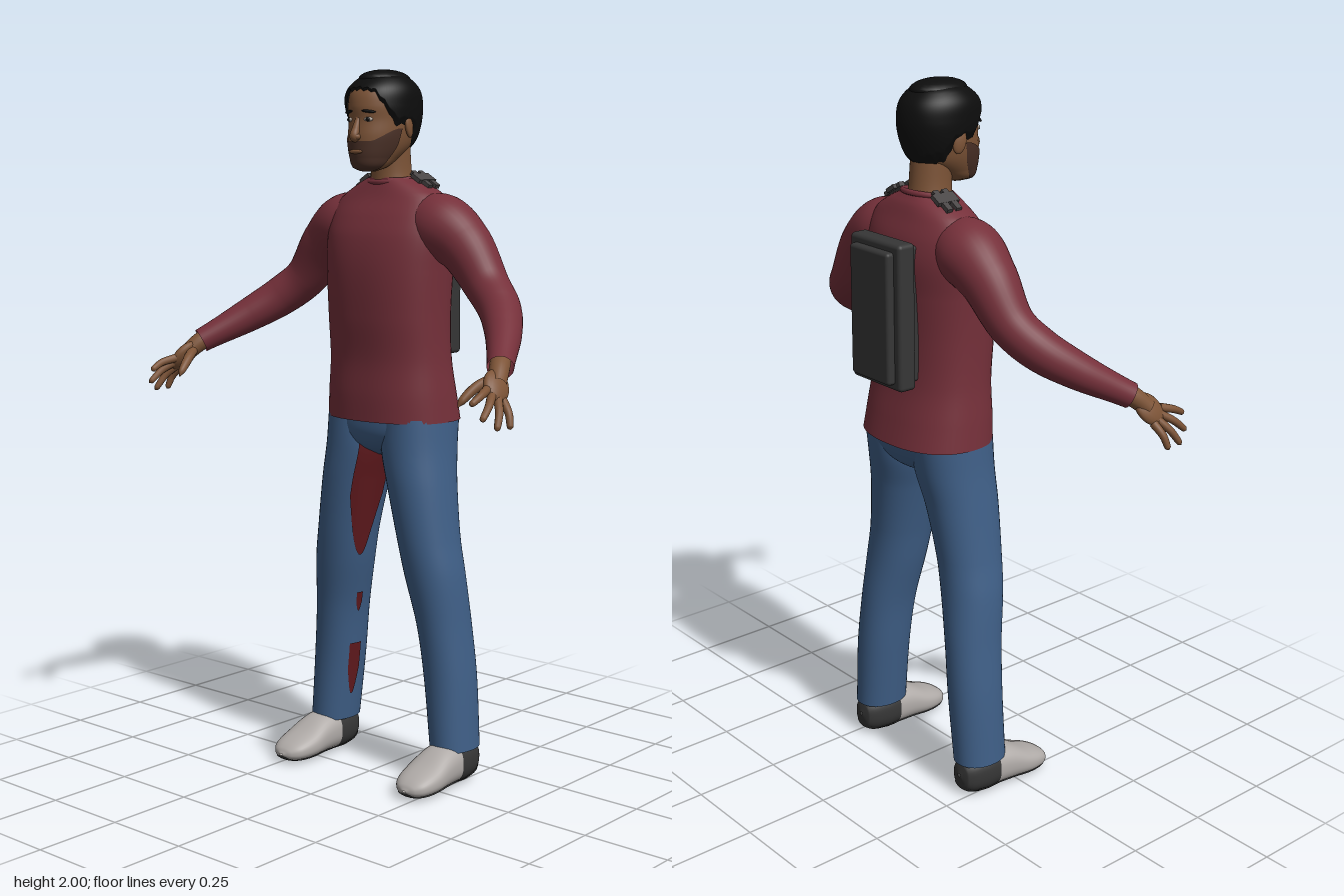
import * as THREE from 'three';
import { ParametricGeometry } from 'three/addons/geometries/ParametricGeometry.js';
import { RoundedBoxGeometry } from 'three/addons/geometries/RoundedBoxGeometry.js';

const mat = (name, color, side = THREE.DoubleSide) => {
  const m = new THREE.MeshStandardMaterial({ color, side });
  m.name = name;
  return m;
};
const V = (x, y, z) => new THREE.Vector3(x, y, z);

// Smooth interpolation of rings [key, xMin, xMax, zBack, zFront] at a given key
function ringAt(rings, key) {
  let i = 0;
  while (i < rings.length - 2 && key > rings[i + 1][0]) i++;
  const a = rings[i], b = rings[i + 1], h = b[0] - a[0];
  const t = THREE.MathUtils.clamp((key - a[0]) / h, 0, 1);
  const p = rings[Math.max(i - 1, 0)], n = rings[Math.min(i + 2, rings.length - 1)];
  return a.map((_, k) => {
    const ma = (b[k] - p[k]) / (b[0] - p[0]) * h, mb = (n[k] - a[k]) / (n[0] - a[0]) * h;
    const t2 = t * t, t3 = t2 * t;
    return (2 * t3 - 3 * t2 + 1) * a[k] + (t3 - 2 * t2 + t) * ma + (3 * t2 - 2 * t3) * b[k] + (t3 - t2) * mb;
  });
}

// Skin over rings; angle 0 faces the front. from/to may depend on the angle.
function skin(rings, o = {}) {
  const { a0 = -Math.PI, a1 = Math.PI, e = 2, off = () => 0, nu = 40, nv = 40 } = o;
  const from = o.from ?? (() => rings[0][0]), to = o.to ?? (() => rings[rings.length - 1][0]);
  return new ParametricGeometry((u, v, out) => {
    const a = a0 + (a1 - a0) * u, s = Math.sin(a), c = Math.cos(a);
    const y = THREE.MathUtils.lerp(from(a), to(a), v);
    const [, x0, x1, zb, zf] = ringAt(rings, y);
    const r = Math.pow(Math.abs(s) ** e + Math.abs(c) ** e, -1 / e), d = off(u, v);
    out.set((x0 + x1) / 2 + ((x1 - x0) / 2 + d) * s * r, y, (zb + zf) / 2 + ((zf - zb) / 2 + d) * c * r);
  }, nu, nv);
}

// Round limb through points [x, y, z, radius]
function limb(points, nu = 20, nv = 28) {
  const path = new THREE.CatmullRomCurve3(points.map(p => V(p[0], p[1], p[2])));
  const radii = new THREE.SplineCurve(points.map((p, i) => new THREE.Vector2(i, p[3])));
  const ref = V(1, 1, 0.1).normalize();
  return new ParametricGeometry((u, v, out) => {
    const T = path.getTangent(v), N = ref.clone().cross(T).normalize(), B = T.clone().cross(N);
    const a = u * Math.PI * 2, r = radii.getPoint(v).y;
    out.copy(path.getPoint(v)).addScaledVector(N, r * Math.cos(a)).addScaledVector(B, r * Math.sin(a));
  }, nu, nv);
}

const sym = rows => rows.map(([y, w, zb, zf]) => [y, -w, w, zb, zf]);

const TORSO = sym([
  [1.03, 0.2, -0.255, 0.04], [1.1, 0.195, -0.24, 0.04], [1.2, 0.187, -0.22, 0.036],
  [1.32, 0.187, -0.215, 0.045], [1.45, 0.193, -0.22, 0.047], [1.54, 0.2, -0.225, 0.035],
  [1.6, 0.195, -0.215, 0.012], [1.65, 0.17, -0.195, -0.015], [1.685, 0.115, -0.18, -0.03],
  [1.705, 0.07, -0.165, -0.038]]);
const HEAD = sym([
  [1.722, 0.015, -0.02, 0.025], [1.732, 0.042, -0.05, 0.044], [1.76, 0.06, -0.1, 0.053],
  [1.79, 0.073, -0.14, 0.056], [1.82, 0.08, -0.155, 0.056], [1.86, 0.084, -0.168, 0.051],
  [1.9, 0.086, -0.172, 0.053], [1.94, 0.082, -0.163, 0.042], [1.967, 0.065, -0.14, 0.015],
  [1.983, 0.04, -0.11, -0.018], [1.989, 0.004, -0.067, -0.059]]);
const NECK = sym([[1.67, 0.066, -0.16, -0.035], [1.72, 0.057, -0.152, -0.035], [1.79, 0.056, -0.145, -0.03]]);
const PELVIS = sym([[0.925, 0.03, -0.13, -0.05], [0.95, 0.1, -0.19, -0.005], [0.99, 0.18, -0.22, 0.016], [1.05, 0.195, -0.24, 0.02]]);
const LEG = [
  [0.1, 0.165, 0.292, -0.187, -0.03], [0.3, 0.14, 0.28, -0.19, -0.03], [0.45, 0.12, 0.265, -0.185, -0.02],
  [0.6, 0.085, 0.252, -0.175, 0], [0.7, 0.065, 0.235, -0.175, 0.01], [0.85, 0.03, 0.215, -0.19, 0.018],
  [0.95, 0.004, 0.203, -0.21, 0.018], [1.04, 0.003, 0.197, -0.225, 0.016]];
// Shoe rings run heel to toe, later turned to lie along z: [z, x, x, -top, -bottom]
const SHOE = [
  [-0.186, 0.225, 0.235, -0.07, -0.06], [-0.178, 0.197, 0.264, -0.1, -0.02], [-0.12, 0.176, 0.285, -0.12, -0.003],
  [-0.07, 0.172, 0.288, -0.122, -0.004], [-0.02, 0.17, 0.293, -0.112, -0.004], [0.04, 0.168, 0.297, -0.083, -0.003],
  [0.09, 0.18, 0.288, -0.062, -0.006], [0.115, 0.202, 0.268, -0.046, -0.014], [0.125, 0.23, 0.24, -0.03, -0.026]];

export function createModel() {
  const model = new THREE.Group();
  model.name = 'person';
  const M = {
    skin: mat('skin', 0x7d5437), beard: mat('beard', 0x4b3127), hair: mat('hair', 0x0d0d0d),
    shirt: mat('shirt', 0x75303a), jeans: mat('jeans', 0x3f5f87), stain: mat('stain', 0x621a1e),
    shoe: mat('shoe', 0xb0aba8), dark: mat('darkFabric', 0x363636), strap: mat('strap', 0x4a4646),
    eye: mat('eyeWhite', 0xb5aaa0) };
  const add = (parent, name, geo, m, pos = [0, 0, 0], rot = [0, 0, 0], scale = [1, 1, 1]) => {
    const mesh = new THREE.Mesh(geo, m);
    mesh.name = name;
    mesh.position.set(...pos);
    mesh.rotation.set(...rot);
    mesh.scale.set(...scale);
    parent.add(mesh);
    return mesh;
  };
  const ball = new THREE.SphereGeometry(1, 20, 14);

  // Shirt, neck and collar
  add(model, 'shirtBody', skin(TORSO, { e: 2.35, nu: 56, nv: 50 }), M.shirt);
  add(model, 'neck', skin(NECK), M.skin);
  add(model, 'collar', new THREE.TorusGeometry(0.066, 0.008, 8, 36), M.shirt, [0, 1.702, -0.1], [Math.PI / 2 + 0.15, 0, 0], [1.06, 1, 1]);
  add(model, 'trouserHips', skin(PELVIS, { e: 2.3 }), M.jeans);

  // Head, hair shell with a curved hairline, beard patch
  const head = new THREE.Group();
  head.name = 'head';
  model.add(head);
  add(head, 'face', skin(HEAD, { nv: 50 }), M.skin);
  const line = [[0, 1.942], [0.55, 1.936], [0.85, 1.9], [1.2, 1.845], [1.5, 1.85], [1.8, 1.84], [2.1, 1.795], [3.2, 1.77]];
  const hairline = a => {
    const t = Math.abs(a), i = Math.max(1, line.findIndex(p => p[0] >= t));
    const [p, q] = [line[i - 1], line[i]];
    return THREE.MathUtils.mapLinear(t, p[0], q[0], p[1], q[1]) + 0.003 * Math.sin(a * 24);
  };
  add(head, 'hair', skin(HEAD, { from: hairline, off: (u, v) => 0.012 * Math.min(1, 0.25 + v * 5), nu: 96, nv: 30 }), M.hair);
  add(head, 'hairCrown', ball, M.hair, [0, 1.972, -0.064], [0, 0, 0], [0.062, 0.028, 0.085]);
  add(head, 'beard', skin(HEAD, { a0: -1.45, a1: 1.45, from: () => 1.723,
    to: a => 1.803 + 0.035 * THREE.MathUtils.smoothstep(Math.abs(a), 0.5, 1.4), off: () => 0.003 }), M.beard);
  add(head, 'nose', limb([[0, 1.865, 0.046, 0.008], [0, 1.835, 0.057, 0.011], [0, 1.815, 0.063, 0.013], [0, 1.805, 0.054, 0.008]]), M.skin);
  add(head, 'noseTip', ball, M.skin, [0, 1.815, 0.06], [0, 0, 0], [0.017, 0.011, 0.013]);
  add(head, 'mouth', ball, M.skin, [0, 1.775, 0.057], [0, 0, 0], [0.024, 0.006, 0.006]);
  for (const s of [-1, 1]) {
    add(head, 'eye', ball, M.eye, [s * 0.034, 1.862, 0.043], [0, s * 0.35, 0], [0.013, 0.006, 0.005]);
    add(head, 'iris', ball, M.hair, [s * 0.034, 1.862, 0.046], [0, s * 0.35, 0], [0.006, 0.006, 0.004]);
    add(head, 'eyebrow', ball, M.hair, [s * 0.036, 1.883, 0.045], [0, s * 0.4, -s * 0.1], [0.021, 0.004, 0.005]);
    add(head, 'ear', ball, M.skin, [s * 0.087, 1.845, -0.065], [0.2, s * 0.3, 0], [0.009, 0.033, 0.019]);
  }

  // Arms and hands: built for +x, mirrored for -x
  const D = V(0.35, -0.68, 0.65).normalize();
  const S = V(-0.36, 0.52, 0.74).addScaledVector(D, -V(-0.36, 0.52, 0.74).dot(D)).normalize();
  const palmCentre = V(0.572, 1.186, 0.172);
  const tips = [[0.585, 1.152, 0.293], [0.61, 1.112, 0.279], [0.629, 1.086, 0.241], [0.633, 1.085, 0.19]];
  for (const s of [1, -1]) {
    const arm = new THREE.Group();
    arm.name = s > 0 ? 'leftArm' : 'rightArm';
    arm.scale.x = s;
    model.add(arm);
    add(arm, 'sleeve', limb([[0.08, 1.578, -0.105, 0.075], [0.17, 1.57, -0.105, 0.092], [0.25, 1.52, -0.108, 0.078],
      [0.335, 1.415, -0.1, 0.062], [0.4, 1.36, -0.068, 0.058], [0.465, 1.305, 0, 0.05], [0.55, 1.228, 0.125, 0.035]], 32, 60), M.shirt);
    add(arm, 'wrist', limb([[0.52, 1.255, 0.08, 0.027], [0.55, 1.225, 0.13, 0.027], [0.572, 1.19, 0.168, 0.024]]), M.skin);
    const palm = add(arm, 'palm', ball, M.skin, palmCentre.toArray(), [0, 0, 0], [0.04, 0.052, 0.019]);
    palm.quaternion.setFromRotationMatrix(new THREE.Matrix4().makeBasis(S, D, S.clone().cross(D)));
    tips.forEach((t, i) => {
      const base = palmCentre.clone().addScaledVector(D, 0.028).addScaledVector(S, 0.027 - i * 0.018);
      const mid = base.clone().lerp(V(...t), 0.5).add(V(0.006, 0.004, 0));
      add(arm, 'finger', limb([[...base.toArray(), 0.012], [...mid.toArray(), 0.0105],
        [...base.clone().lerp(V(...t), 0.93).toArray(), 0.008], [...t, 0.001]], 12, 16), M.skin);
    });
    add(arm, 'thumb', limb([[0.555, 1.205, 0.15, 0.014], [0.53, 1.185, 0.195, 0.014],
      [0.514, 1.15, 0.238, 0.01], [0.511, 1.135, 0.25, 0.001]], 12, 16), M.skin);
  }

  // Legs and shoes
  for (const s of [1, -1]) {
    const leg = new THREE.Group();
    leg.name = s > 0 ? 'leftLeg' : 'rightLeg';
    leg.scale.x = s;
    model.add(leg);
    add(leg, 'trouserLeg', skin(LEG, { e: 2.15, nv: 50 }), M.jeans);
    const shoePart = (name, m, o) => add(leg, name, skin(SHOE, { e: 2.4, ...o }).rotateX(Math.PI / 2), m);
    shoePart('shoeHeel', M.dark, { to: () => -0.075 });
    shoePart('shoeUpper', M.shoe, { from: () => -0.075 });
    shoePart('shoeSole', M.dark, { a0: -0.85, a1: 0.85, off: () => 0.003 });
    // Stain down the inside of one leg; the angle points inwards
    if (s < 0) {
      const stain = (lo, hi, a0, a1) => add(leg, 'stain', skin(LEG, { e: 2.15, a0, a1, off: () => 0.004, nu: 24,
        from: a => THREE.MathUtils.lerp((lo + hi) / 2, lo, Math.sin(Math.PI * (a - a0) / (a1 - a0))), to: () => hi }), M.stain);
      stain(0.62, 0.985, -1.75, -0.65);
      stain(0.44, 0.5, -1.5, -1.25);
      stain(0.18, 0.34, -1.6, -1.1);
    }
  }

  // Backpack with a raised outer pocket and shoulder strap ends
  const pack = new THREE.Group();
  pack.name = 'backpack';
  model.add(pack);
  add(pack, 'packBack', new RoundedBoxGeometry(0.17, 0.37, 0.06, 2, 0.008), M.dark, [0, 1.405, -0.22]);
  add(pack, 'packBody', new RoundedBoxGeometry(0.21, 0.4, 0.055, 3, 0.012), M.dark, [0, 1.405, -0.256]);
  add(pack, 'packPocket', new RoundedBoxGeometry(0.162, 0.36, 0.05, 3, 0.01), M.dark, [0, 1.403, -0.28]);
  for (const s of [-1, 1]) {
    for (const z of [-0.105, -0.135])
      add(pack, 'strapEnd', new THREE.BoxGeometry(0.075, 0.012, 0.018), M.strap, [s * 0.1, 1.699, z], [0, 0, -s * 0.55]);
    add(pack, 'strapPlate', new THREE.BoxGeometry(0.035, 0.012, 0.07), M.strap, [s * 0.094, 1.703, -0.12], [0, 0, -s * 0.55]);
  }
  return model;
}
